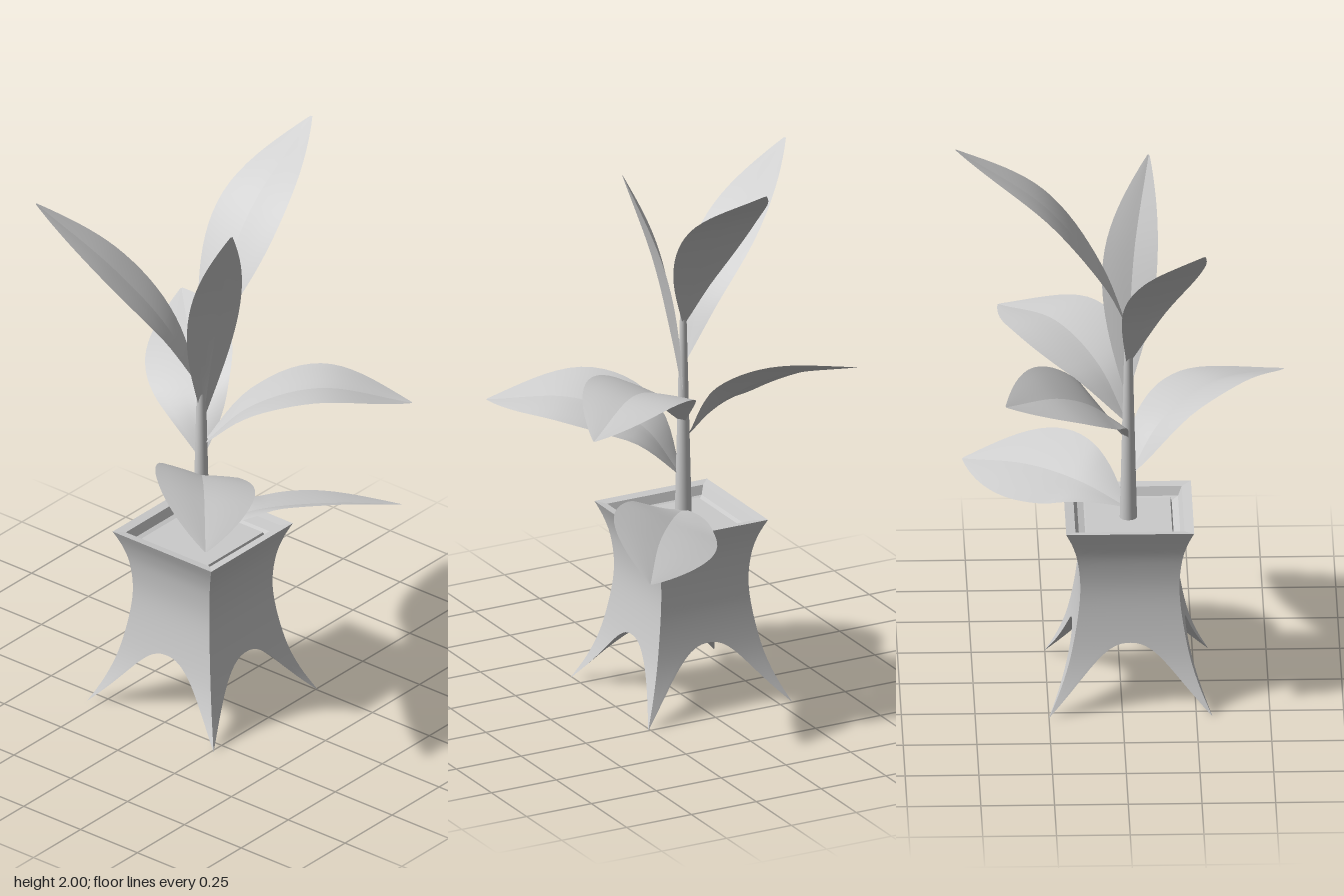
import * as THREE from 'three';

const mat = new THREE.MeshStandardMaterial({ color: 0xcccccc });
const leafMat = new THREE.MeshStandardMaterial({ color: 0xcccccc, side: THREE.DoubleSide });
const V = (a) => new THREE.Vector3(...a);

// Indexed grid surface: point(i, j) for i in 0..rows, j in 0..cols
function gridSurface(rows, cols, point) {
  const pos = [], idx = [];
  for (let i = 0; i <= rows; i++) for (let j = 0; j <= cols; j++) pos.push(...point(i, j));
  for (let i = 0; i < rows; i++) for (let j = 0; j < cols; j++) {
    const a = i * (cols + 1) + j, b = a + 1, c = a + cols + 1, d = c + 1;
    idx.push(a, b, d, a, d, c);
  }
  const g = new THREE.BufferGeometry();
  g.setAttribute('position', new THREE.Float32BufferAttribute(pos, 3));
  g.setIndex(idx);
  g.computeVertexNormals();
  return g;
}

function add(group, name, geometry, material = mat) {
  const m = new THREE.Mesh(geometry, material);
  m.name = name;
  group.add(m);
  return m;
}

// One quarter of the square pot, repeated about the vertical axis
const FOOT = 0.262, TOP = 0.655, ARCH = 0.24;
const profile = new THREE.SplineCurve([
  [0.278, 0], [0.236, 0.09], [0.203, 0.19], [0.178, 0.32], [0.168, 0.43],
  [0.176, 0.53], [0.194, 0.6], [0.217, TOP],
].map((p) => new THREE.Vector2(...p)));
const samples = profile.getPoints(120);
function halfWidth(y) {
  let k = 1;
  while (k < samples.length - 1 && samples[k].y < y) k++;
  const a = samples[k - 1], b = samples[k];
  return a.x + (b.x - a.x) * THREE.MathUtils.clamp((y - a.y) / (b.y - a.y), 0, 1);
}
const bottomY = (s) => ARCH * (1 - Math.pow(Math.abs(s), 2.3));

function makePot() {
  const pot = new THREE.Group();
  pot.name = 'pot';
  const n = 28;
  const wall = gridSurface(28, n, (i, j) => {
    const s = (j / n) * 2 - 1, y0 = bottomY(s), y = y0 + (TOP - y0) * (i / 28), h = halfWidth(y);
    return [s * h, y, h];
  });
  // Domed underside reaching from the arch edge to the centre
  const under = gridSurface(12, n, (i, j) => {
    const s = (j / n) * 2 - 1, t = 1 - i / 12, y0 = bottomY(s), h = halfWidth(y0);
    const k = 1 - t;
    return [s * h * k, y0 + (0.27 - y0) * Math.sin(t * Math.PI / 2), h * k];
  });
  // Rim, inner lip and stepped soil: [half width, height]
  const steps = [[0.217, TOP], [0.185, 0.65], [0.172, 0.62], [0.15, 0.612], [0.145, 0.625], [0, 0.625]];
  for (let q = 0; q < 4; q++) {
    const side = new THREE.Group();
    side.name = 'potSide';
    side.rotation.y = q * Math.PI / 2;
    add(side, 'wall', wall);
    add(side, 'underside', under);
    for (let k = 0; k < steps.length - 1; k++) {
      add(side, k < 2 ? 'rim' : 'soil', gridSurface(1, 1, (i, j) => {
        const [h, y] = steps[k + i];
        return [(j * 2 - 1) * h, y, h];
      }));
    }
    pot.add(side);
  }
  pot.position.set(-0.027, 0, -0.018);
  return pot;
}

// Leaf: a midrib curve with two blades folded up slightly along it
function addLeaf(group, name, points, width, roll, fold = 0.16) {
  const curve = new THREE.CatmullRomCurve3(points.map(V));
  const a = points[0], b = points[points.length - 1];
  const side = new THREE.Vector3(b[2] - a[2], 0, a[0] - b[0]).normalize();
  const rows = 22, cols = 4;
  const leaf = new THREE.Group();
  leaf.name = name;
  for (const sign of [-1, 1]) {
    add(leaf, 'blade', gridSurface(rows, cols, (i, j) => {
      const t = i / rows, p = curve.getPointAt(t), tan = curve.getTangentAt(t);
      const up = tan.clone().cross(side).normalize();
      const w = width * (0.02 * (1 - t) + Math.pow(Math.max(0, Math.sin(Math.PI * Math.pow(t, 1.08))), 0.95)) + 0.004;
      const u = j / cols, angle = roll * Math.min(1, t * 3) * sign + fold;
      p.addScaledVector(side, sign * u * w * Math.cos(angle));
      p.addScaledVector(up, u * w * Math.sin(angle) - 0.06 * w * u * u);
      return p.toArray();
    }), leafMat);
  }
  group.add(leaf);
}

function makeStem() {
  const g = new THREE.CylinderGeometry(0.011, 0.03, 0.78, 16, 8);
  g.translate(-0.026, 0.99, -0.025);
  return g;
}

export function createModel() {
  const model = new THREE.Group();
  model.name = 'pottedPlant';
  model.add(makePot());
  const plant = new THREE.Group();
  plant.name = 'plant';
  add(plant, 'stem', makeStem());

  // Leaves from the lowest to the highest: midrib, half width, roll
  const leaves = [
    ['lowLeaf', [[-0.02, 0.66, -0.02], [0.13, 0.7, 0.1], [0.31, 0.7, 0.25], [0.525, 0.655, 0.4]], 0.18, -0.36],
    ['leftLeaf', [[-0.03, 0.78, -0.02], [-0.14, 0.94, 0.07], [-0.32, 1.01, 0.23], [-0.565, 0.96, 0.44]], 0.17, -0.22],
    ['backRightLeaf', [[-0.02, 0.92, -0.03], [0.07, 1.07, -0.13], [0.21, 1.18, -0.27], [0.4, 1.24, -0.465]], 0.155, -0.42],
    ['frontLeaf', [[-0.02, 0.98, -0.02], [0.07, 1.13, 0.11], [0.21, 1.21, 0.3], [0.4, 1.16, 0.55]], 0.17, -0.1],
    ['uprightLeaf', [[-0.02, 1.08, -0.02], [-0.03, 1.3, 0.02], [-0.05, 1.58, 0.08], [-0.1, 1.885, 0.17]], 0.1, 0, 0.35],
    ['backLeaf', [[-0.025, 1.2, -0.03], [-0.08, 1.42, -0.13], [-0.16, 1.62, -0.3], [-0.27, 1.83, -0.55]], 0.11, 0, 0.1],
    ['topLeaf', [[-0.02, 1.34, -0.025], [0.06, 1.52, -0.025], [0.25, 1.78, -0.03], [0.56, 2, -0.025]], 0.13, 0, 0.08],
  ];
  for (const leaf of leaves) addLeaf(plant, ...leaf);
  model.add(plant);
  return model;
}
